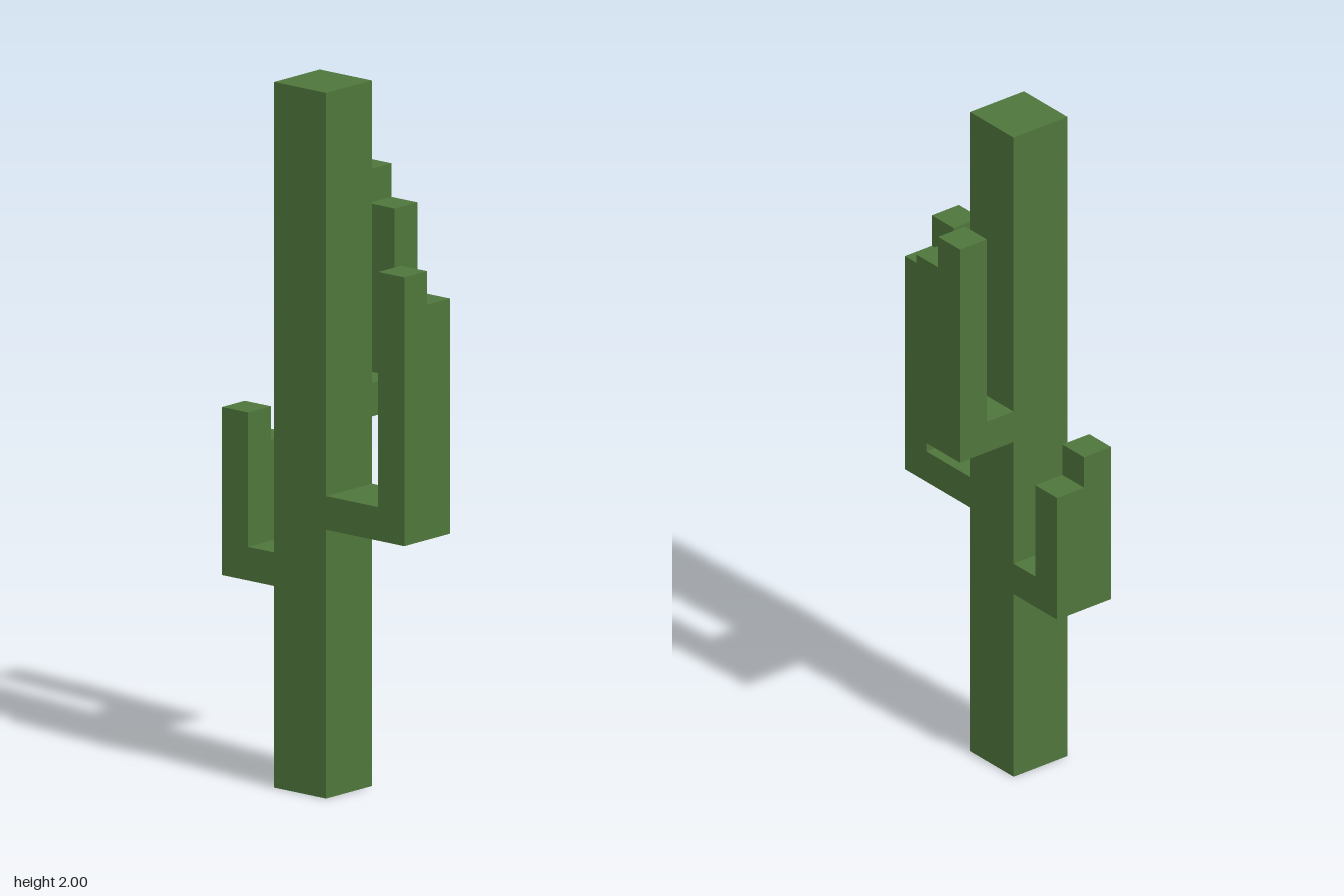
import * as THREE from 'three';

const U = 2 / 21; // one block of the model's grid

export function createModel() {
  const cactusGreen = new THREE.MeshStandardMaterial({ color: 0x4f763b });
  cactusGreen.name = 'cactusGreen';

  // Box spanning two opposite corners, given in blocks
  function block(name, [x0, y0, z0], [x1, y1, z1]) {
    const geometry = new THREE.BoxGeometry((x1 - x0) * U, (y1 - y0) * U, (z1 - z0) * U);
    const mesh = new THREE.Mesh(geometry, cactusGreen);
    mesh.name = name;
    mesh.position.set((x0 + x1) * U / 2, (y0 + y1) * U / 2, (z0 + z1) * U / 2);
    return mesh;
  }

  function arm(name, ...parts) {
    const group = new THREE.Group();
    group.name = name;
    group.add(...parts);
    return group;
  }

  const cactus = new THREE.Group();
  cactus.name = 'cactus';
  cactus.add(
    block('trunk', [-1.5, 0, 0], [0.5, 21, 2]),

    // Each arm: a level branch, an upright and a half-width tip
    arm('leftArm',
      block('leftBranch', [0.5, 8, 0], [2.5, 9, 2]),
      block('leftUpright', [2.5, 8, 0], [3.5, 15, 2]),
      block('leftTip', [2.5, 15, 1], [3.5, 16, 2])),

    arm('rightArm',
      block('rightBranch', [-2.5, 6, 0], [-1.5, 7, 2]),
      block('rightUpright', [-3.5, 6, 0], [-2.5, 10, 2]),
      block('rightTip', [-3.5, 10, 1], [-2.5, 11, 2])),

    arm('backArm',
      block('backBranch', [-1.5, 11, -1], [0.5, 12, 0]),
      block('backUpright', [-1.5, 11, -2], [0.5, 17, -1]),
      block('backTip', [-1.5, 17, -2], [-0.5, 18, -1])),
  );
  return cactus;
}
